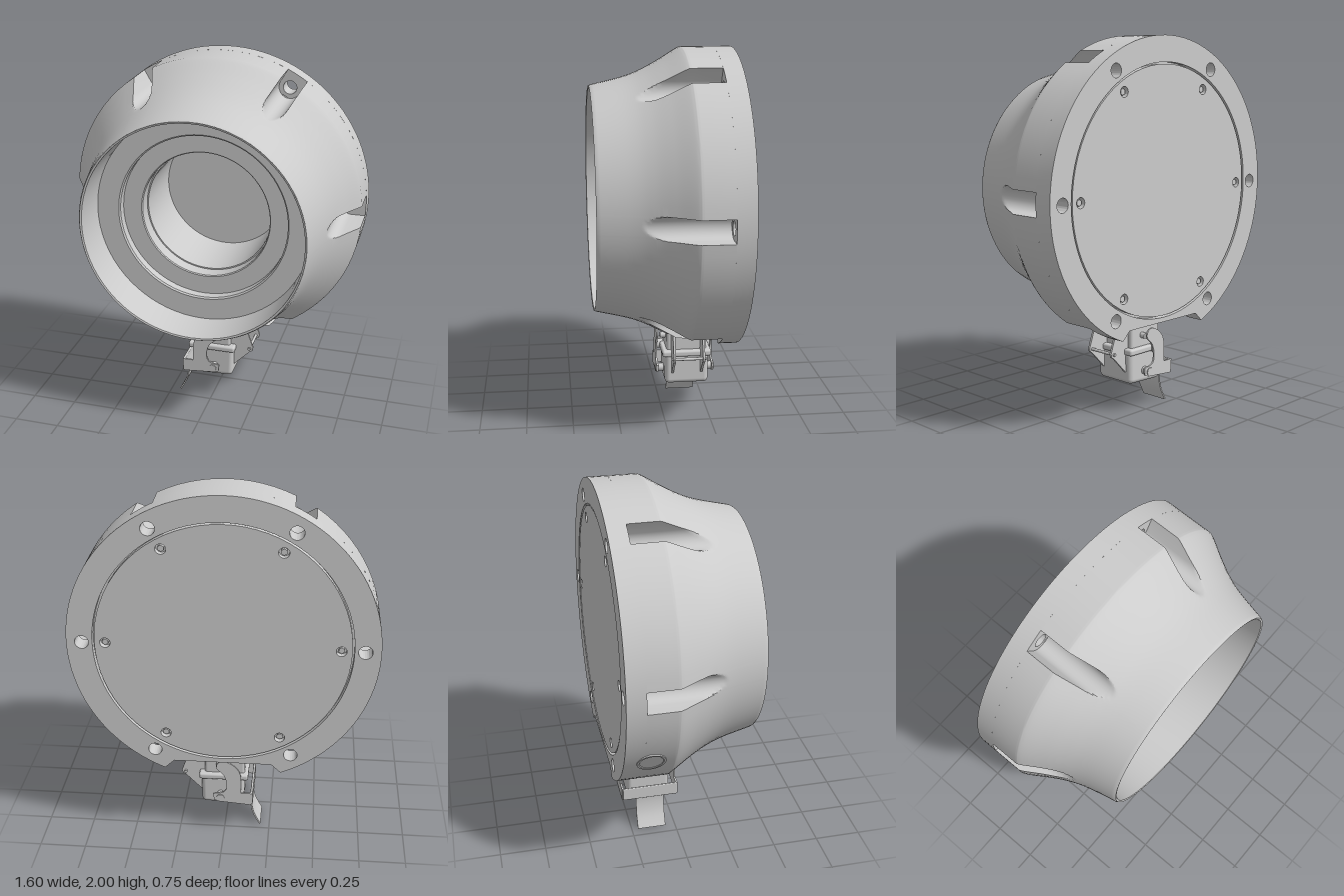
import * as THREE from 'three';
import { toCreasedNormals } from 'three/addons/utils/BufferGeometryUtils.js';
import { RoundedBoxGeometry } from 'three/addons/geometries/RoundedBoxGeometry.js';

const MAT = new THREE.MeshStandardMaterial({ color: 0xcccccc, side: THREE.DoubleSide });
const R = 0.8, HOLE_R = 0.72, SLOT = 0.06, FLOOR = -0.275, BACK = -0.375, CHORD = -0.69;
const V2 = (a) => a.map(([x, y]) => new THREE.Vector2(x, y));

function add(parent, name, geo, x = 0, y = 0, z = 0) {
  const m = new THREE.Mesh(geo, MAT);
  m.name = name;
  m.position.set(x, y, z);
  parent.add(m);
  return m;
}

// Lathe around z; points are [radius, z]
function latheZ(pts, seg = 72) {
  return toCreasedNormals(new THREE.LatheGeometry(V2(pts), seg).rotateX(Math.PI / 2), 0.5);
}

function plate(shape, depth, curveSegments = 16) {
  return toCreasedNormals(new THREE.ExtrudeGeometry(shape, { depth, bevelEnabled: false, curveSegments }), 0.5);
}

function circlePath(x, y, r) {
  return new THREE.Path().absarc(x, y, r, 0, Math.PI * 2, true);
}

function ringPoints(r, count = 6) {
  return Array.from({ length: count }, (_, k) => {
    const a = (k * Math.PI * 2) / count;
    return [r * Math.cos(a), r * Math.sin(a)];
  });
}

// Outline of the housing at radius r: a circle with six U-shaped slots and a flat bottom
function housingOutline(r) {
  const pts = [], N = 12, S = 12;
  for (let k = 0; k < 6; k++) {
    const a = (k * Math.PI) / 3, c = Math.cos(a), s = Math.sin(a);
    const slot = (u, v) => {
      const w = Math.min(v, Math.sqrt(r * r - u * u));
      pts.push([c * w - s * u, s * w + c * u]);
    };
    slot(-SLOT, 9);
    for (let i = 0; i <= S; i++) {
      const t = (i * Math.PI) / S;
      slot(-SLOT * Math.cos(t), HOLE_R - SLOT * Math.sin(t));
    }
    slot(SLOT, 9);
    const d = Math.asin(SLOT / r);
    for (let i = 1; i < N; i++) {
      const t = a + d + ((Math.PI / 3 - 2 * d) * i) / N;
      pts.push([r * Math.cos(t), r * Math.sin(t)]);
    }
  }
  return pts.map(([x, y]) => [x, Math.max(y, CHORD)]);
}

function housingGeometry() {
  const curve = new THREE.SplineCurve(V2([[-0.13, 0.8], [-0.1, 0.795], [0, 0.735], [0.1, 0.682], [0.2, 0.645], [0.365, 0.606]]));
  const profile = [[FLOOR, R], ...curve.getPoints(45).map((p) => [p.x, Math.min(p.y, R)]), [0.375, 0.6]];
  const pos = [], idx = [];
  let n = 0;
  profile.forEach(([z, r], i) => {
    const ring = housingOutline(r);
    n = ring.length;
    ring.forEach(([x, y], j) => {
      pos.push(x, y, z);
      if (i === 0) return;
      const j2 = (j + 1) % n, lo = (i - 1) * n, hi = i * n;
      idx.push(lo + j, lo + j2, hi + j2, lo + j, hi + j2, hi + j);
    });
  });
  const g = new THREE.BufferGeometry();
  g.setAttribute('position', new THREE.Float32BufferAttribute(pos, 3));
  g.setIndex(idx);
  return toCreasedNormals(g, 0.5);
}

// Rear flange: notched circle with mounting holes and a large opening
function flangeGeometry() {
  const nx = 0.31, a = Math.acos(nx / R);
  const s = new THREE.Shape();
  s.moveTo(-0.26, CHORD);
  s.lineTo(0.26, CHORD);
  s.lineTo(nx, -R * Math.sin(a));
  s.absarc(0, 0, R, -a, Math.PI + a, false);
  s.closePath();
  ringPoints(HOLE_R).forEach(([x, y]) => s.holes.push(circlePath(x, y, 0.036)));
  s.holes.push(circlePath(0, 0, 0.665));
  return plate(s, FLOOR - BACK, 48);
}

function buildHousing() {
  const g = new THREE.Group();
  g.name = 'housing';
  g.position.y = 1.2;
  add(g, 'outerShell', housingGeometry());
  add(g, 'rearFlange', flangeGeometry(), 0, 0, BACK);

  // Stepped front opening down to the deep floor
  add(g, 'frontBore', latheZ([
    [0.6, 0.375], [0.59, 0.372], [0.585, 0.155], [0.465, 0.155], [0.457, 0.147], [0.457, 0.1],
    [0.355, 0.1], [0.35, 0.094], [0.35, 0.02], [0.343, 0.02], [0.343, -0.335], [0, -0.335],
  ]));

  // Back cover with recessed screws, set in a thin groove
  const cover = new THREE.Shape().absarc(0, 0, 0.655, 0, Math.PI * 2, false);
  ringPoints(0.6).forEach(([x, y]) => cover.holes.push(circlePath(x, y, 0.027)));
  add(g, 'backCover', plate(cover, 0.032, 36), 0, 0, -0.372);
  add(g, 'coverSeat', new THREE.CylinderGeometry(0.667, 0.667, 0.004, 72).rotateX(Math.PI / 2), 0, 0, -0.338);
  ringPoints(0.6).forEach(([x, y]) =>
    add(g, 'coverScrew', new THREE.CylinderGeometry(0.017, 0.017, 0.02, 6).rotateX(Math.PI / 2), x, y, -0.352));

  // Side port between two slots
  const port = add(g, 'sidePort', toCreasedNormals(new THREE.LatheGeometry(V2([
    [0.075, -0.01], [0.075, 0.004], [0.064, 0.004], [0.06, 0.001], [0, 0.001],
  ]), 32), 0.5));
  const dir = new THREE.Vector3(-Math.cos(Math.PI / 6), -0.5, 0);
  port.position.copy(dir).multiplyScalar(R).setZ(-0.235);
  port.quaternion.setFromUnitVectors(new THREE.Vector3(0, 1, 0), dir);
  return g;
}

function buildConnector() {
  const g = new THREE.Group();
  g.name = 'connector';
  g.position.z = -0.135;
  const box = (name, w, h, d, r, x, y, z = 0) => add(g, name, new RoundedBoxGeometry(w, h, d, 3, r), x, y, z);
  const pin = (name, r, len, x, y, z = 0) =>
    add(g, name, new THREE.CylinderGeometry(r, r, len, 16).rotateX(Math.PI / 2), x, y, z);

  box('connectorBase', 0.22, 0.19, 0.22, 0.015, 0, 0.43);
  box('collar', 0.27, 0.035, 0.27, 0.012, 0.005, 0.342);

  // Hood, slightly tapered towards a sloping bottom
  const hood = new RoundedBoxGeometry(0.24, 0.18, 0.24, 4, 0.025);
  const p = hood.attributes.position;
  for (let i = 0; i < p.count; i++) {
    if (p.getY(i) < 0) {
      p.setY(i, p.getY(i) + 0.04 * p.getX(i));
      p.setX(i, p.getX(i) * 0.97);
    }
  }
  add(g, 'hood', hood, 0.01, 0.25, 0);

  // Hinge brackets on the left
  const bracket = new THREE.Shape(V2([[0.09, 0.51], [0.185, 0.505], [0.24, 0.35], [0.235, 0.33], [0.22, 0.322], [0.13, 0.23], [0.09, 0.23]]));
  bracket.holes.push(circlePath(0.218, 0.343, 0.009));
  for (const z of [-0.08, 0.08]) add(g, 'hingeBracket', plate(bracket, 0.012), 0, 0, z - 0.006);
  pin('hingePin', 0.008, 0.19, 0.218, 0.343);

  // Locking lever: two hooked side plates joined by a bar with a curved handle
  const hook = new THREE.Shape();
  hook.moveTo(-0.155, 0.26);
  hook.lineTo(-0.095, 0.26);
  hook.splineThru(V2([[-0.092, 0.37], [-0.065, 0.425], [-0.01, 0.46], [0.03, 0.452], [0.04, 0.415], [0, 0.37], [-0.015, 0.31], [0, 0.265], [0.06, 0.25]]));
  hook.lineTo(0.055, 0.21);
  hook.lineTo(0.03, 0.2);
  hook.lineTo(-0.15, 0.185);
  for (const s of [-1, 1]) {
    add(g, 'leverSide', plate(hook, 0.01), 0, 0, s * 0.155 - 0.005);
    pin('leverPin', 0.022, 0.05, 0.02, 0.225, s * 0.14);
    pin('lockingStud', 0.025, 0.04, -0.045, 0.342, s * 0.135);
    pin('upperStud', 0.016, 0.035, 0.03, 0.42, s * 0.122);
  }
  box('leverBar', 0.014, 0.075, 0.31, 0.005, -0.152, 0.223);

  const path = new THREE.SplineCurve(V2([[-0.155, 0.25], [-0.149, 0.16], [-0.163, 0.08], [-0.2, 0.005]])).getPoints(12);
  const inner = path.map((q) => new THREE.Vector2(q.x + 0.008, q.y - 0.002)).reverse();
  inner[0].set(-0.193, 0);
  add(g, 'leverHandle', plate(new THREE.Shape([...path, ...inner]), 0.16), 0, 0, -0.08);
  return g;
}

export function createModel() {
  const model = new THREE.Group();
  model.name = 'lampHousing';
  model.add(buildHousing(), buildConnector());
  return model;
}
